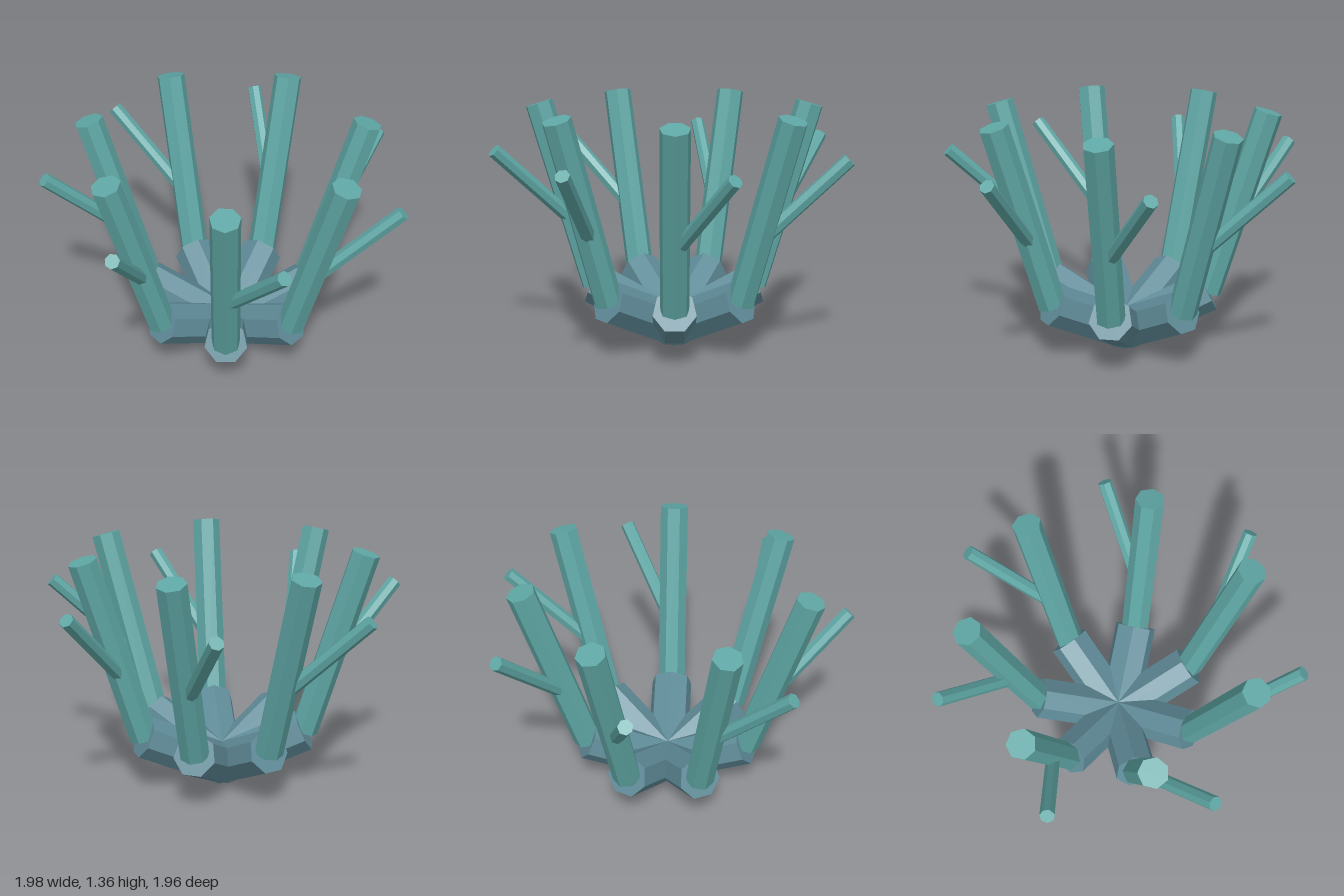
import * as THREE from 'three';

const SIDES = 7;
const ARMS = 7;

// Seven-sided rod from a to b, with one of its edges turned toward `ridge`
function rod(name, a, b, radius, ridge, material) {
  const from = new THREE.Vector3(...a);
  const to = new THREE.Vector3(...b);
  const y = to.clone().sub(from);
  const length = y.length();
  y.normalize();
  const z = new THREE.Vector3(...ridge);
  z.addScaledVector(y, -z.dot(y)).normalize();
  const x = new THREE.Vector3().crossVectors(y, z);

  const mesh = new THREE.Mesh(
    new THREE.CylinderGeometry(radius, radius, length, SIDES).toNonIndexed(), material);
  mesh.geometry.computeVertexNormals();
  mesh.name = name;
  mesh.quaternion.setFromRotationMatrix(new THREE.Matrix4().makeBasis(x, y, z));
  mesh.position.copy(from).add(to).multiplyScalar(0.5);
  return mesh;
}

export function createModel() {
  const baseBlue = new THREE.MeshStandardMaterial({ color: 0x5f8b98, flatShading: true });
  baseBlue.name = 'slate blue';
  const stalkTeal = new THREE.MeshStandardMaterial({ color: 0x5ea6a4, flatShading: true });
  stalkTeal.name = 'teal';

  const model = new THREE.Group();
  model.name = 'coral';

  const hub = [0, 0.098, 0];
  const elbow = [0.461, 0.32, 0];
  const stalkTop = [0.776, 1.343, 0];
  const fork = [0.567, 0.665, 0];
  const twigTip = [0.942, 1.117, -0.29];

  // Each limb: thick base arm, tall stalk and a thin side twig
  for (let i = 0; i < ARMS; i++) {
    const limb = new THREE.Group();
    limb.name = `limb${i + 1}`;
    limb.add(
      rod('baseArm', hub, elbow, 0.12, [0, 1, 0], baseBlue),
      rod('stalk', elbow, stalkTop, 0.08, [1, 0, 0], stalkTeal),
      rod('twig', fork, twigTip, 0.04, [1, 0, 0], stalkTeal));
    limb.rotation.y = -i * 2 * Math.PI / ARMS;
    limb.position.set(0.009, 0, -0.0375);
    model.add(limb);
  }
  return model;
}
